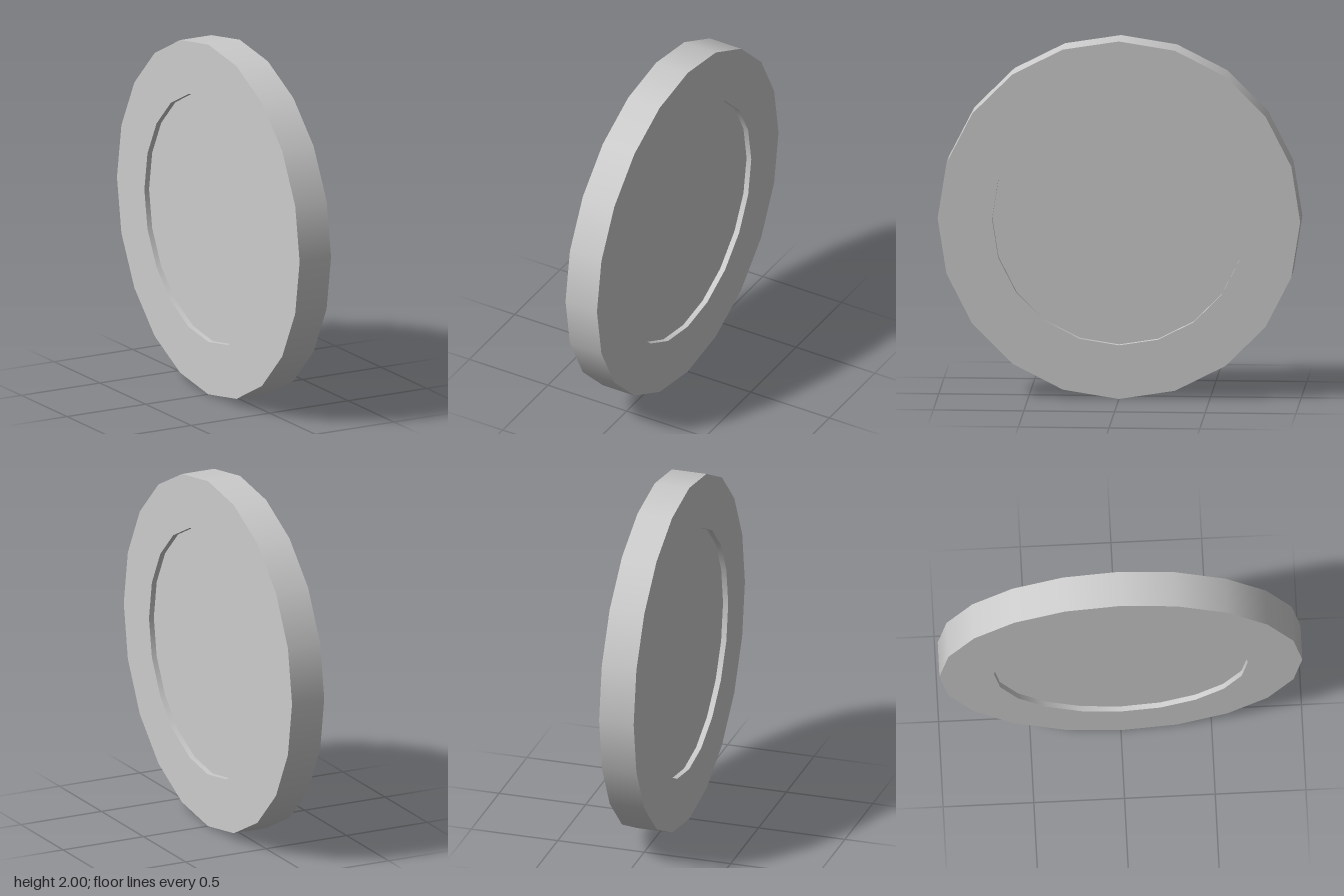
import * as THREE from 'three';

const SIDES = 20;
const OUTER = 1, INNER = 0.7;      // radii of the rim
const HALF = 0.1, FLOOR = 0.07;    // half thickness at the rim and at the recessed face

export function createModel() {
  const model = new THREE.Group();
  const material = new THREE.MeshStandardMaterial({ color: 0xcccccc });

  // disc profile (radius, height): each span is its own lathe, so the corners stay sharp
  const profile = [
    [0, -FLOOR], [INNER, -FLOOR], [INNER, -HALF], [OUTER, -HALF],
    [OUTER, HALF], [INNER, HALF], [INNER, FLOOR], [0, FLOOR],
  ].map(([r, h]) => new THREE.Vector2(r, h));
  const names = [
    'leftFace', 'leftRecessWall', 'leftRim', 'edge',
    'rightRim', 'rightRecessWall', 'rightFace',
  ];

  const disc = new THREE.Group();
  disc.name = 'disc';
  names.forEach((name, i) => {
    const geometry = new THREE.LatheGeometry([profile[i], profile[i + 1]], SIDES);
    const mesh = new THREE.Mesh(geometry, material);
    mesh.name = name;
    disc.add(mesh);
  });

  // stand the disc on its edge, with its axis along x
  disc.rotation.z = Math.PI / 2;
  disc.position.y = OUTER;
  model.add(disc);
  return model;
}
